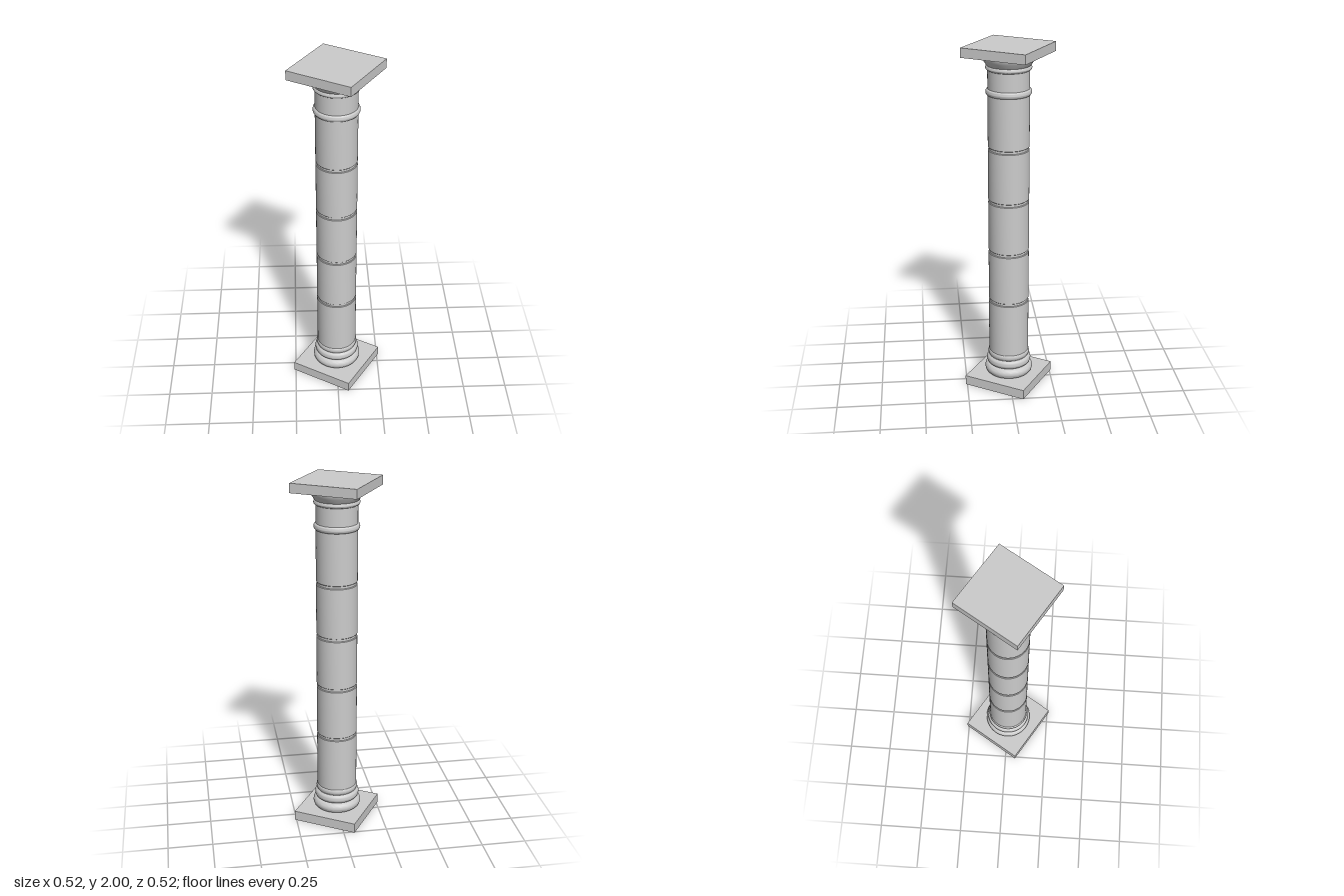
import * as THREE from 'three';
import { toCreasedNormals } from 'three/addons/utils/BufferGeometryUtils.js';

const SEGMENTS = 64;
const material = new THREE.MeshStandardMaterial({ color: 0xcccccc });

export function createModel() {
  const model = new THREE.Group();
  model.name = 'column';

  const add = (name, geometry) => {
    const mesh = new THREE.Mesh(geometry, material);
    mesh.name = name;
    model.add(mesh);
    return mesh;
  };

  // Turned part from [radius, height] pairs, bottom to top
  const turned = (name, profile) => {
    const points = profile.map(([r, y]) => new THREE.Vector2(r, y));
    add(name, toCreasedNormals(new THREE.LatheGeometry(points, SEGMENTS), 0.6));
  };

  // Half-round moulding bulging from the shaft
  const moulding = (name, y, halfHeight, inner, outer) => {
    const profile = [[0.1, y - halfHeight]];
    for (let i = 0; i <= 12; i++) {
      const a = -Math.PI / 2 + (i / 12) * Math.PI;
      profile.push([inner + (outer - inner) * Math.cos(a), y + halfHeight * Math.sin(a)]);
    }
    profile.push([0.1, y + halfHeight]);
    turned(name, profile);
  };

  // Square slab, turned about the vertical axis
  const slab = (name, bottom, top) => {
    const mesh = add(name, new THREE.BoxGeometry(0.377, top - bottom, 0.377));
    mesh.position.y = (bottom + top) / 2;
    mesh.rotation.y = -0.554;
  };

  slab('plinth', 0, 0.057);
  slab('abacus', 1.948, 2);

  // Stacked base mouldings
  moulding('lowerBaseRing', 0.087, 0.03, 0.112, 0.138);
  moulding('middleBaseRing', 0.143, 0.026, 0.108, 0.128);
  moulding('upperBaseRing', 0.188, 0.019, 0.108, 0.119);

  // Inner core seen in the joints between drums
  turned('core', [[0.108, 0.05], [0.108, 1.95]]);

  // Shaft drums with narrow recessed joints
  const joints = [0.16, 0.528, 0.831, 1.132, 1.435, 1.88];
  const gap = 0.007, bevel = 0.003, radius = 0.114;
  for (let i = 0; i < joints.length - 1; i++) {
    const low = joints[i] + gap, high = joints[i + 1] - gap;
    turned('shaftDrum', [
      [0.1, low], [radius - bevel, low], [radius, low + bevel],
      [radius, high - bevel], [radius - bevel, high], [0.1, high],
    ]);
  }

  // Necking ring and flared capital
  moulding('neckRing', 1.75, 0.018, 0.112, 0.125);
  moulding('capitalCollar', 1.881, 0.014, 0.112, 0.125);
  turned('capital', [
    [0.1, 1.893], [0.119, 1.893], [0.123, 1.898], [0.128, 1.907],
    [0.135, 1.917], [0.14, 1.927], [0.144, 1.938], [0.145, 1.95], [0.1, 1.95],
  ]);

  return model;
}
